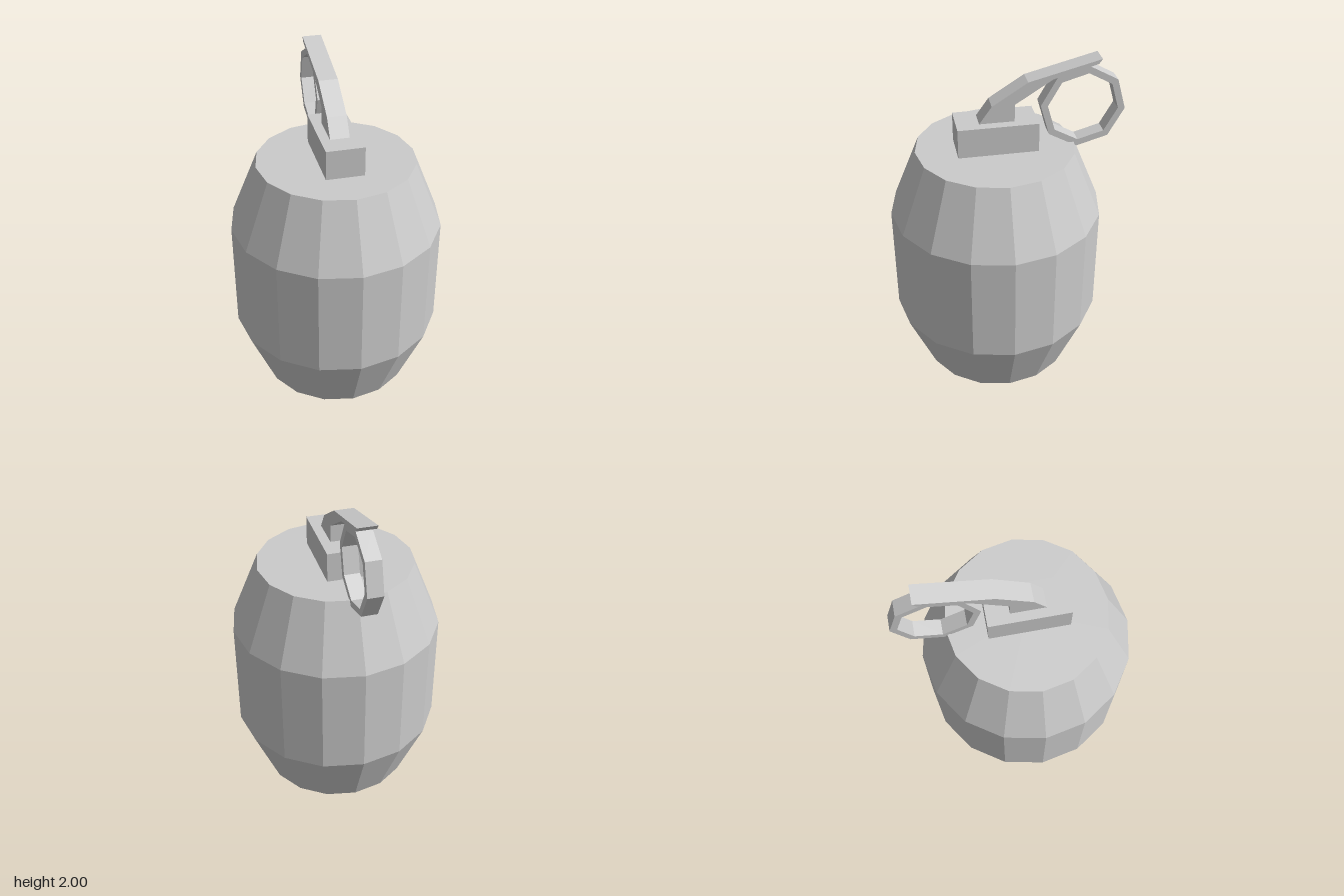
import * as THREE from 'three';

const material = new THREE.MeshStandardMaterial({ color: 0xcccccc, flatShading: true });

function addPart(group, name, geometry) {
  const mesh = new THREE.Mesh(geometry, material);
  mesh.name = name;
  group.add(mesh);
  return mesh;
}

// Extrude a side profile drawn in (backward, up), centred across x
function sideExtrude(shape, width) {
  return new THREE.ExtrudeGeometry(shape, { depth: width, bevelEnabled: false })
    .translate(0, 0, -width / 2)
    .rotateY(Math.PI / 2);
}

const vectors = (pairs) => pairs.map(([a, b]) => new THREE.Vector2(a, b));

function octagon(radius) {
  return Array.from({ length: 8 }, (_, i) => {
    const a = (i * Math.PI) / 4 - 0.117;
    return new THREE.Vector2(0.445 + radius * Math.cos(a), 1.706 + radius * Math.sin(a));
  });
}

export function createModel() {
  const model = new THREE.Group();
  model.name = 'grenade';

  // Sixteen-sided barrel body with flat caps
  const profile = vectors([[0, 0], [0.47, 0], [0.635, 0.405], [0.635, 1.08], [0.47, 1.483], [0, 1.483]]);
  addPart(model, 'body', new THREE.LatheGeometry(profile, 16)).position.z = 0.063;

  // Fuse block on top
  addPart(model, 'fuseBlock', new THREE.BoxGeometry(0.226, 0.177, 0.47)).position.set(0, 1.5715, 0.06);

  // Bent safety lever reaching backward
  const lever = new THREE.Shape(vectors([
    [-0.163, 1.66], [0.042, 1.66], [0.042, 1.763], [0.26, 1.9],
    [0.52, 1.972], [0.54, 2], [0.117, 1.894], [-0.09, 1.763],
  ]));
  addPart(model, 'lever', sideExtrude(lever, 0.114));

  // Octagonal pull ring under the lever
  const ring = new THREE.Shape(octagon(0.252));
  ring.holes.push(new THREE.Path(octagon(0.21)));
  addPart(model, 'pullRing', sideExtrude(ring, 0.092));

  return model;
}
